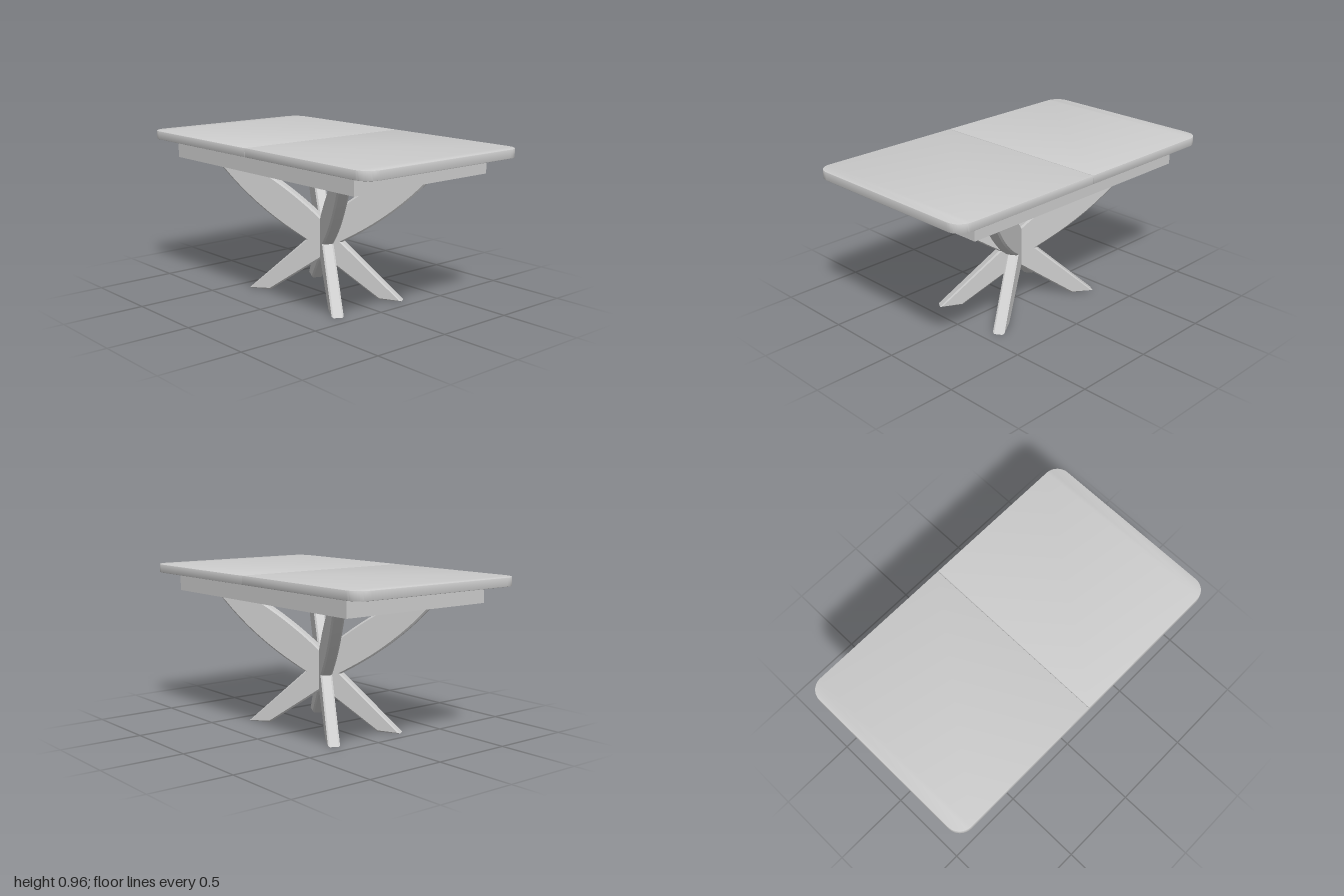
import * as THREE from 'three';
import { toCreasedNormals } from 'three/addons/utils/BufferGeometryUtils.js';

const grey = new THREE.MeshStandardMaterial({ color: 0xcccccc });
grey.name = 'plain grey';

function add(parent, name, geometry) {
  const mesh = new THREE.Mesh(geometry, grey);
  mesh.name = name;
  parent.add(mesh);
  return mesh;
}

// Extrude with the bevel kept inside the given outline and total depth
function slab(shape, depth, bevel, segments) {
  const g = new THREE.ExtrudeGeometry(shape, {
    depth: depth - 2 * bevel, bevelEnabled: true, bevelThickness: bevel, bevelSize: bevel,
    bevelOffset: -bevel, bevelSegments: segments, curveSegments: 10,
  });
  g.translate(0, 0, bevel);
  return g;
}

// Half of the table top: square at the seam, rounded at the outer corners
function topHalf() {
  const w = 1, d = 0.593, r = 0.09, seam = 0.001;
  const s = new THREE.Shape();
  s.moveTo(seam, -d);
  s.lineTo(w - r, -d);
  s.absarc(w - r, -d + r, r, -Math.PI / 2, 0);
  s.lineTo(w, d - r);
  s.absarc(w - r, d - r, r, 0, Math.PI / 2);
  s.lineTo(seam, d);
  s.closePath();
  const g = slab(s, 0.053, 0.004, 2);
  g.rotateX(-Math.PI / 2).translate(0, 0.912, 0);
  return toCreasedNormals(g, 0.6);
}

// One arm of the base: curved upper support and straight foot in one outline
function armGeometry() {
  const thick = 0.07;
  const s = new THREE.Shape();
  s.moveTo(-0.02, 0.225);
  s.lineTo(0.35, 0);
  s.lineTo(0.49, 0);
  s.lineTo(0.115, 0.34);
  s.quadraticCurveTo(0.461, 0.523, 0.695, 0.808);
  s.lineTo(0.49, 0.808);
  s.quadraticCurveTo(0.225, 0.67, -0.02, 0.455);
  s.closePath();
  const shape = new THREE.Shape([
    [0, 0.24], [0.35, 0], [0.49, 0], [0.115, 0.34],
  ].map(([x, y]) => new THREE.Vector2(x, y)));
  shape.quadraticCurveTo(0.461, 0.523, 0.695, 0.806);
  shape.lineTo(0.49, 0.806);
  shape.quadraticCurveTo(0.225, 0.67, 0, 0.47);
  shape.lineTo(-0.02, 0.45);
  shape.lineTo(-0.02, 0.255);
  const g = slab(shape, thick, 0.01, 1);
  g.translate(0, 0, -thick / 2);
  return toCreasedNormals(g, 0.4);
}

export function createModel() {
  const table = new THREE.Group();
  table.name = 'table';

  // Two-leaf top
  const half = topHalf();
  add(table, 'topLeafLeft', half);
  add(table, 'topLeafRight', half).rotation.y = Math.PI;

  // Open apron frame under the top
  const apron = new THREE.Group();
  apron.name = 'apron';
  table.add(apron);
  const y0 = 0.804, y1 = 0.914, h = y1 - y0, t = 0.02;
  const rail = new THREE.BoxGeometry(1.64, h, t);
  const end = new THREE.BoxGeometry(t, h, 1.02 - 2 * t);
  for (const side of [-1, 1]) {
    add(apron, 'apronRail', rail).position.set(0, (y0 + y1) / 2, side * (0.51 - t / 2));
    add(apron, 'apronEnd', end).position.set(side * (0.82 - t / 2), (y0 + y1) / 2, 0);
  }

  // Four crossing arms on the diagonals
  const base = new THREE.Group();
  base.name = 'crossBase';
  table.add(base);
  const arm = armGeometry(), a = 0.557;
  for (const angle of [a, -a, Math.PI - a, Math.PI + a]) {
    add(base, 'leg', arm).rotation.y = angle;
  }
  return table;
}
